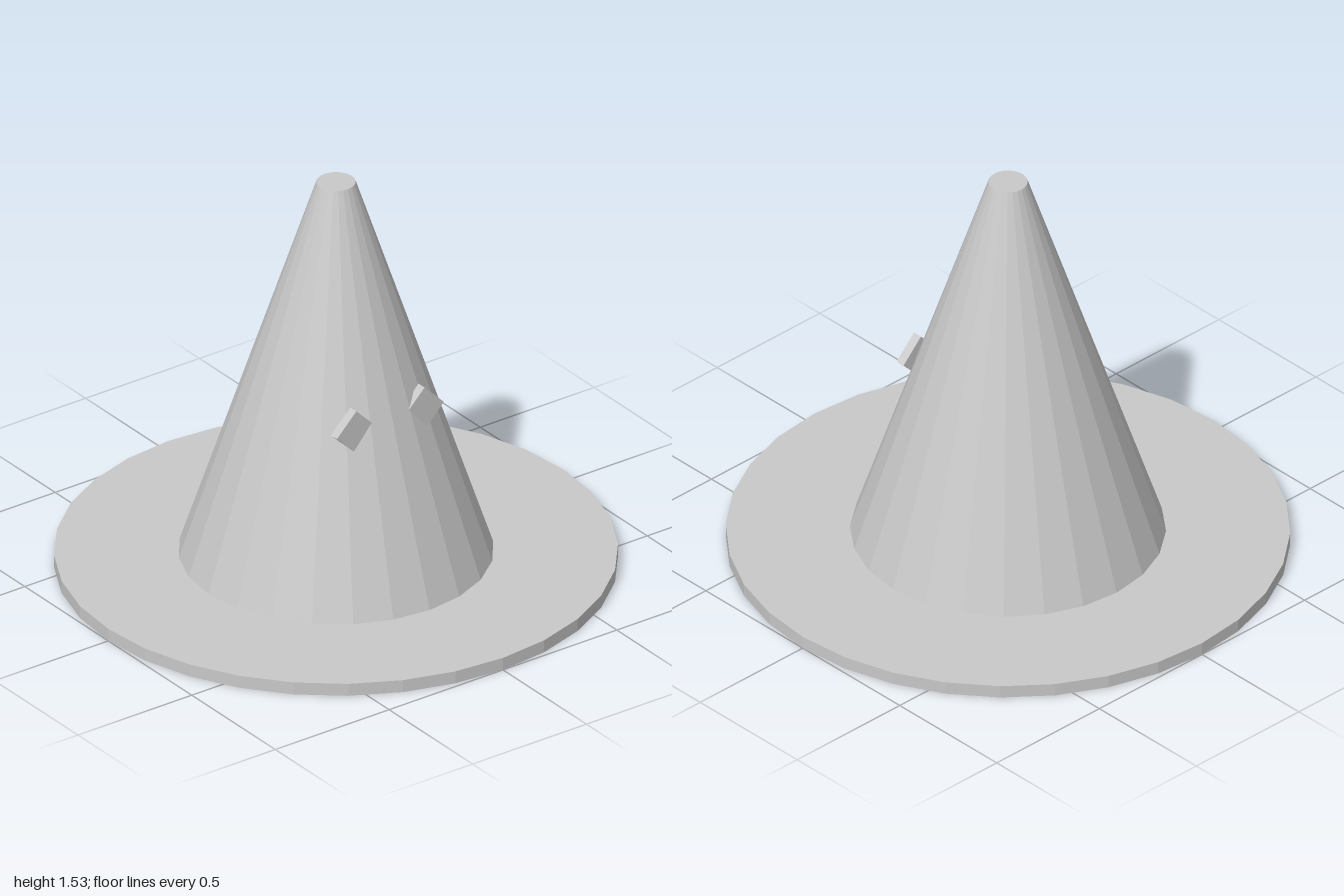
import * as THREE from 'three';

export function createModel() {
  const model = new THREE.Group();
  model.name = 'hat';
  const grey = new THREE.MeshStandardMaterial({ color: 0xc8c8c8, flatShading: true });
  grey.name = 'light grey';

  function add(name, geometry, x, y, z) {
    const mesh = new THREE.Mesh(geometry, grey);
    mesh.name = name;
    mesh.position.set(x, y, z);
    model.add(mesh);
    return mesh;
  }

  // Flat round brim
  const brimHeight = 0.048;
  add('brim', new THREE.CylinderGeometry(1, 1, brimHeight, 32), 0, brimHeight / 2, 0);

  // Tall tapered crown with a blunt tip
  const crownHeight = 1.482;
  add('crown', new THREE.CylinderGeometry(0.07, 0.56, crownHeight, 24), 0, brimHeight + crownHeight / 2, 0);

  // Diamond eyes, partly sunk into the crown
  for (const [name, side] of [['leftEye', 1], ['rightEye', -1]]) {
    const eye = add(name, new THREE.BoxGeometry(0.12, 0.12, 0.036), side * 0.15, 0.71, 0.308);
    eye.rotation.z = side * Math.PI / 4;
  }

  return model;
}
